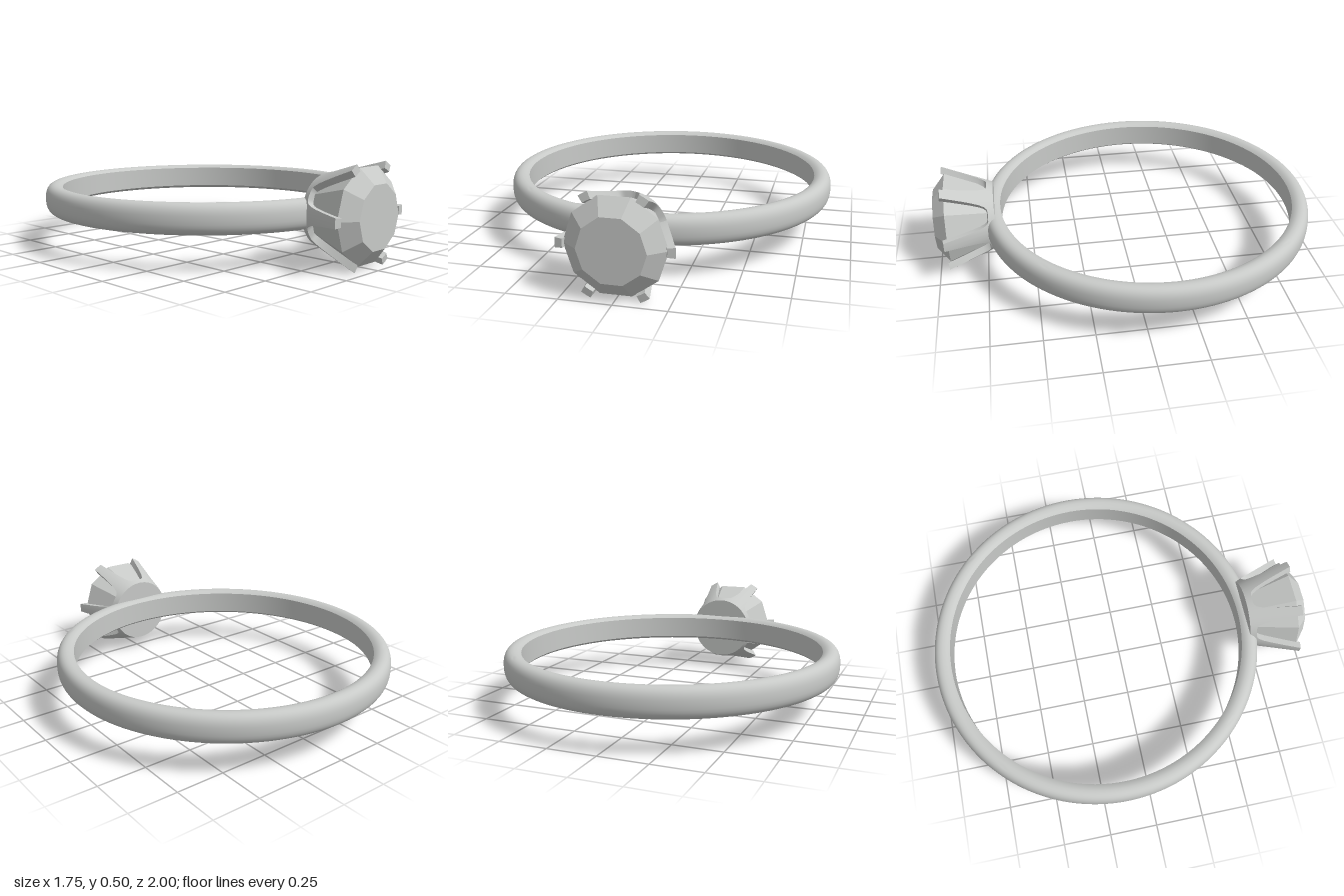
import * as THREE from 'three';
import { toCreasedNormals } from 'three/addons/utils/BufferGeometryUtils.js';

const CENTRE_Y = 0.25;

// Band: rounded outside, flat inside with small bevels, revolved around y
function bandGeometry() {
  const profile = [[0.785, -0.058], [0.8, -0.07]];
  for (let i = 0; i <= 16; i++) {
    const a = -Math.PI / 2 + (i / 16) * Math.PI;
    const c = Math.cos(a), s = Math.sin(a);
    profile.push([0.82 + 0.055 * Math.pow(Math.abs(c), 0.8), 0.075 * Math.sign(s) * Math.pow(Math.abs(s), 0.8)]);
  }
  profile.push([0.8, 0.07], [0.785, 0.058], [0.785, -0.058]);
  const geo = new THREE.LatheGeometry(profile.map(([r, y]) => new THREE.Vector2(r, y)), 128);
  return toCreasedNormals(geo, 0.5);
}

// Crown: flared cup along +z with six arches cut from its rim, leaving prongs
function crownGeometry() {
  const base = 0.69, low = 0.722, high = 0.95, tip = 0.09, wall = 0.036;
  const radius = z => 0.175 + (z - base) / (high - base) * 0.098;
  const stations = [];
  for (let k = 0; k < 6; k++) {
    const centre = k * Math.PI / 3;
    stations.push([centre, high]);
    for (let i = 0; i <= 20; i++) {
      const u = Math.sin(-Math.PI / 2 + (i / 20) * Math.PI);
      const a = centre + Math.PI / 6 + u * (Math.PI / 6 - tip);
      stations.push([a, low + (high - low) * Math.pow(Math.abs(u), 5)]);
    }
  }
  // Loop at each station: base centre, outer base, outer rim, inner rim, inner floor
  const pos = [], index = [];
  for (const [a, z] of stations) {
    const loop = [[0, base], [radius(base), base], [radius(z), z],
      [radius(z) - wall, z + 0.006], [radius(base) - wall, base + 0.01], [0, base + 0.01]];
    for (const [r, h] of loop) pos.push(r * Math.cos(a), r * Math.sin(a), h);
  }
  const n = stations.length;
  for (let i = 0; i < n; i++) {
    const p = i * 6, q = ((i + 1) % n) * 6;
    for (let j = 0; j < 5; j++) {
      if (j > 0) index.push(p + j, q + j, p + j + 1);
      if (j < 4) index.push(q + j, q + j + 1, p + j + 1);
    }
  }
  // Base fan (its inner edge collapses to a point)
  const geo = new THREE.BufferGeometry();
  geo.setAttribute('position', new THREE.Float32BufferAttribute(pos, 3));
  geo.setIndex(index);
  return toCreasedNormals(geo, 0.5);
}

// Ten-sided frustum along z, from radius r0 at z0 to radius r1 at z1
function facetRing(r0, z0, r1, z1) {
  const geo = new THREE.CylinderGeometry(r1, r0, z1 - z0, 10, 1);
  geo.rotateY(Math.PI / 2);
  geo.rotateX(Math.PI / 2);
  geo.translate(0, 0, (z0 + z1) / 2);
  return toCreasedNormals(geo, 0.1);
}

export function createModel() {
  const silver = new THREE.MeshStandardMaterial({ color: 0xc8cac8 });
  silver.name = 'silver grey';

  const model = new THREE.Group();
  model.name = 'ring';
  const add = (parent, name, geo) => {
    const mesh = new THREE.Mesh(geo, silver);
    mesh.name = name;
    parent.add(mesh);
    return mesh;
  };

  const band = add(model, 'band', bandGeometry());
  band.position.set(0, CENTRE_Y, -0.125);

  const head = new THREE.Group();
  head.name = 'head';
  head.position.y = CENTRE_Y;
  model.add(head);
  add(head, 'prongSetting', crownGeometry());

  // Cut stone: steep pavilion, then bevelled crown up to a flat table
  const stone = new THREE.Group();
  stone.name = 'stone';
  head.add(stone);
  add(stone, 'pavilion', facetRing(0.15, 0.71, 0.24, 0.935));
  add(stone, 'stoneCrown', facetRing(0.24, 0.935, 0.16, 1.0));

  return model;
}
